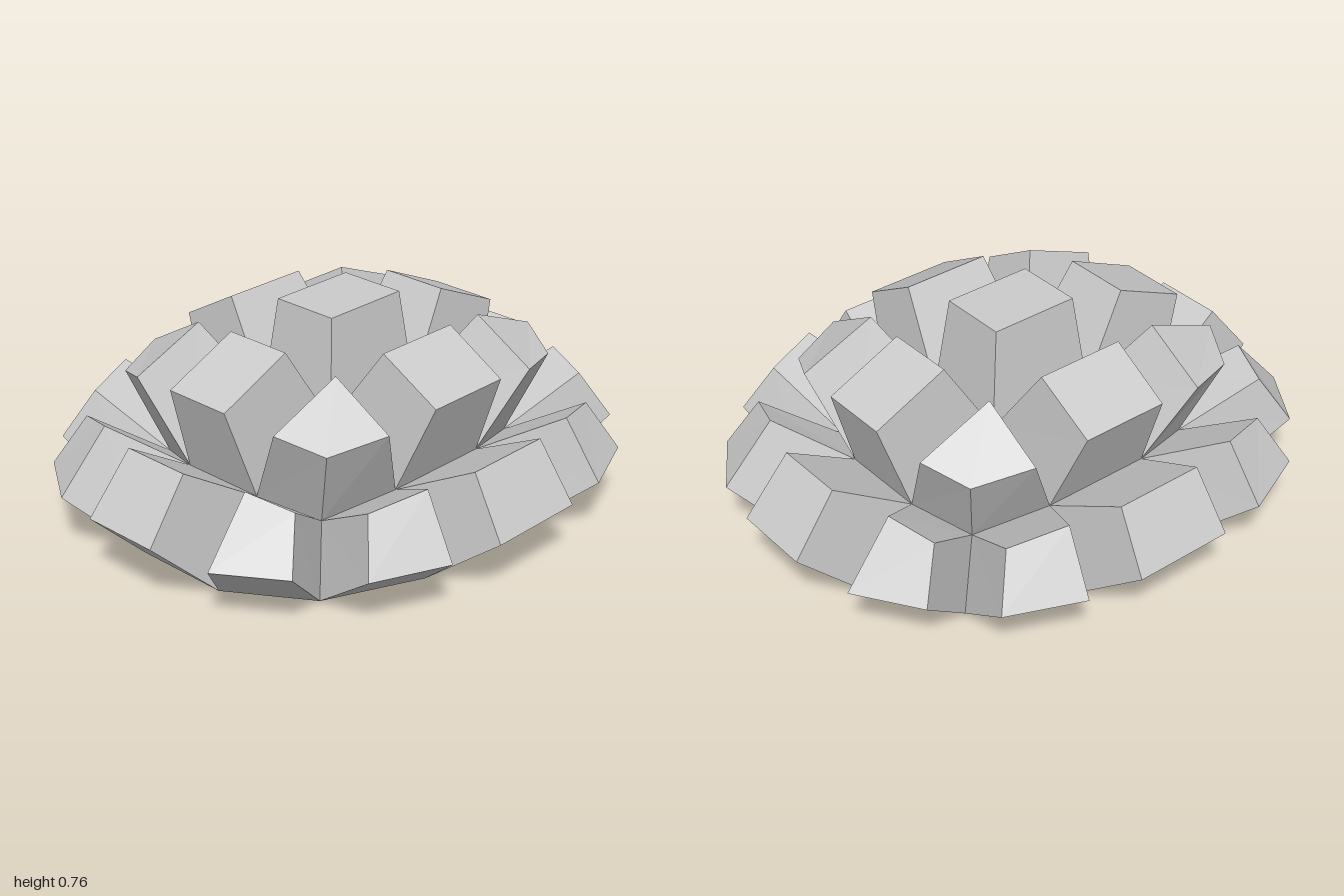
import * as THREE from 'three';
import { mergeVertices } from 'three/addons/utils/BufferGeometryUtils.js';

// Shell nodes of one quadrant
const INNER = [0.207, 0.415, 0.16], FRONT = [0.204, 0.258, 0.45], SIDE = [0.553, 0.262, 0.16], CORNER = [0.462, 0.213, 0.364];
const BASE_FRONT = [0.23, 0, 0.61], BASE_CORNER = [0.57, 0, 0.46], BASE_SIDE = [0.75, 0, 0.18];

const flip = (p, sx, sz) => [p[0] * sx, p[1], p[2] * sz];
// Closes two points into a quad across the x or z axis
const acrossX = (a, b) => [a, flip(a, -1, 1), flip(b, -1, 1), b];
const acrossZ = (a, b) => [a, flip(a, 1, -1), flip(b, 1, -1), b];

// Each block: name, quad on the shell, outer quad, mirror signs
const ALL = [[1, 1], [-1, 1], [1, -1], [-1, -1]];
const FRONT_BACK = [[1, 1], [1, -1]];
const LEFT_RIGHT = [[1, 1], [-1, 1]];
const BLOCKS = [
  ['crownBlock', acrossX(INNER, flip(INNER, 1, -1)), acrossX([0.165, 0.758, 0.125], [0.165, 0.758, -0.125]), [[1, 1]]],
  ['upperFrontBlock', acrossX(FRONT, INNER), acrossX([0.162, 0.575, 0.58], [0.165, 0.702, 0.355]), FRONT_BACK],
  ['upperSideBlock', acrossZ(SIDE, INNER), acrossZ([0.656, 0.583, 0.127], [0.382, 0.705, 0.127]), LEFT_RIGHT],
  ['upperCornerBlock', [INNER, SIDE, CORNER, FRONT],
    [[0.35, 0.673, 0.32], [0.63, 0.56, 0.32], [0.552, 0.51, 0.475], [0.35, 0.54, 0.552]], ALL],
  ['rimFrontBlock', acrossX(BASE_FRONT, FRONT), acrossX([0.185, 0.21, 0.88], [0.165, 0.415, 0.75]), FRONT_BACK],
  ['rimSideBlock', acrossZ(BASE_SIDE, SIDE), acrossZ([1, 0.24, 0.145], [0.838, 0.44, 0.13]), LEFT_RIGHT],
  ['rimFrontCornerBlock', [BASE_FRONT, BASE_CORNER, CORNER, FRONT],
    [[0.375, 0.205, 0.845], [0.638, 0.205, 0.733], [0.55, 0.38, 0.648], [0.35, 0.413, 0.715]], ALL],
  ['rimSideCornerBlock', [BASE_SIDE, BASE_CORNER, CORNER, SIDE],
    [[0.95, 0.22, 0.352], [0.805, 0.22, 0.573], [0.712, 0.39, 0.495], [0.768, 0.425, 0.333]], ALL],
];

const vec = (p) => new THREE.Vector3(...p);
const centre = (pts) => pts.reduce((s, p) => s.add(vec(p)), new THREE.Vector3()).divideScalar(pts.length);

// Is the quad counter-clockwise when seen from direction dir?
function facing(q, dir) {
  const d1 = vec(q[2]).sub(vec(q[0])), d2 = vec(q[3]).sub(vec(q[1]));
  return d1.cross(d2).dot(dir) > 0;
}

function quadGeometry(quads) {
  const pos = quads.flatMap(([a, b, c, d]) => [a, b, c, a, c, d].flat());
  const g = new THREE.BufferGeometry();
  g.setAttribute('position', new THREE.Float32BufferAttribute(pos, 3));
  return g;
}

// Tapered block: outer face and four walls
function blockGeometry(base, top) {
  if (!facing(top, centre(top).sub(centre(base)))) {
    base = [...base].reverse();
    top = [...top].reverse();
  }
  const walls = base.map((p, i) => {
    const j = (i + 1) % 4;
    return [p, base[j], top[j], top[i]];
  });
  const g = quadGeometry([top, ...walls]);
  g.computeVertexNormals();
  return g;
}

export function createModel() {
  const group = new THREE.Group();
  const flat = new THREE.MeshStandardMaterial({ color: 0xcccccc, flatShading: true });
  const smooth = new THREE.MeshStandardMaterial({ color: 0xcccccc, side: THREE.DoubleSide });
  const add = (name, geometry, material) => {
    const mesh = new THREE.Mesh(geometry, material);
    mesh.name = name;
    group.add(mesh);
  };

  const down = new THREE.Vector3(0, -1, 0);
  const faceDown = (q) => (facing(q, down) ? q : [...q].reverse());
  const INSET = 0.93, DEPTH = 0.28, RINGS = 8;
  // Point of the hollow: t = 1 at the rim, 0 at its deepest point
  const hollow = (p, t) => [p[0] * INSET * t, DEPTH * (1 - t * t), p[2] * INSET * t];
  const lining = [], rim = [];

  for (const [name, base, top, mirrors] of BLOCKS) {
    for (const [sx, sz] of mirrors) {
      const b = base.map((p) => flip(p, sx, sz));
      add(name, blockGeometry(b, top.map((p) => flip(p, sx, sz))), flat);
      if (!name.startsWith('rim')) continue;
      rim.push(faceDown([b[0], b[1], hollow(b[1], 1), hollow(b[0], 1)]));
      for (let i = 0; i < RINGS; i++) {
        const t0 = i / RINGS, t1 = (i + 1) / RINGS;
        lining.push(faceDown([hollow(b[0], t1), hollow(b[1], t1), hollow(b[1], t0), hollow(b[0], t0)]));
      }
    }
  }

  // Smooth hollow underside
  const inside = mergeVertices(quadGeometry(lining), 1e-4);
  inside.computeVertexNormals();
  add('innerBowl', inside, smooth);

  // Flat bottom edge
  const edge = quadGeometry(rim);
  edge.computeVertexNormals();
  add('bottomRim', edge, flat);
  return group;
}
